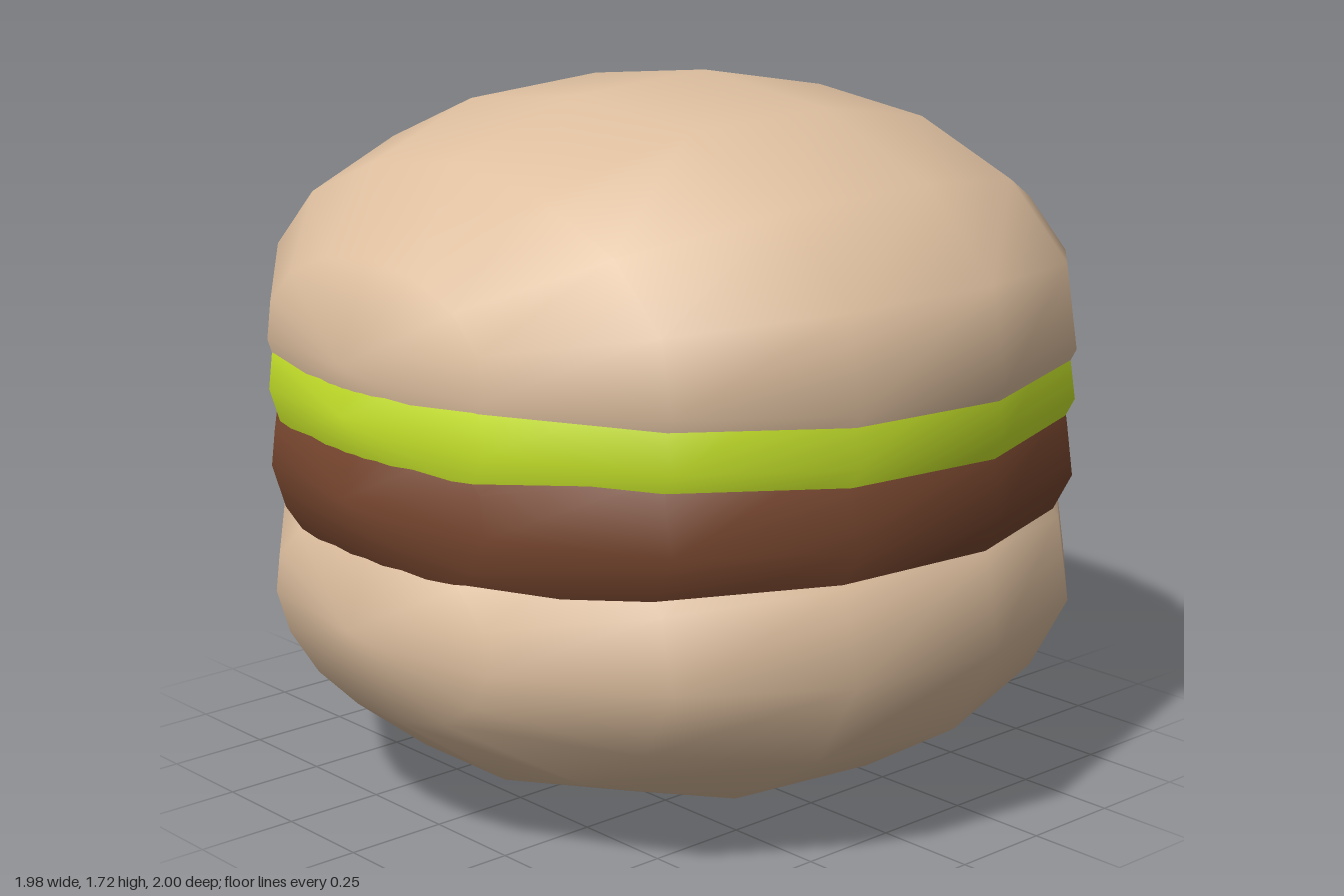
import * as THREE from 'three';

// Low-poly unit ball: 15 sides around z, rings every 24 degrees from the front,
// with a longer last step to the rear pole.
function createBall() {
  const profile = [0, 24, 48, 72, 96, 120, 144, 180].map((deg) => {
    const a = THREE.MathUtils.degToRad(deg);
    return new THREE.Vector2(deg === 180 ? 0 : Math.sin(a), -Math.cos(a));
  });
  const geometry = new THREE.LatheGeometry(profile, 15);
  geometry.rotateX(-Math.PI / 2);
  // Round shading: on a unit ball each normal equals its position
  geometry.setAttribute('normal', geometry.attributes.position.clone());
  return geometry;
}

export function createModel() {
  const group = new THREE.Group();
  const bun = new THREE.MeshStandardMaterial({ color: 0xdfc0a0 });
  const lettuce = new THREE.MeshStandardMaterial({ color: 0xcbe82c });
  const meat = new THREE.MeshStandardMaterial({ color: 0x7a4830 });

  // Overlapping flattened balls, stacked from the bottom up
  const layers = [
    ['bottomBun', 0.546, bun],
    ['patty', 0.858, meat],
    ['lettuce', 1.045, lettuce],
    ['topBun', 1.165, bun],
  ];
  const ball = createBall().scale(1, 0.56, 1);
  for (const [name, y, material] of layers) {
    const mesh = new THREE.Mesh(ball, material);
    mesh.name = name;
    mesh.position.y = y;
    group.add(mesh);
  }
  return group;
}
